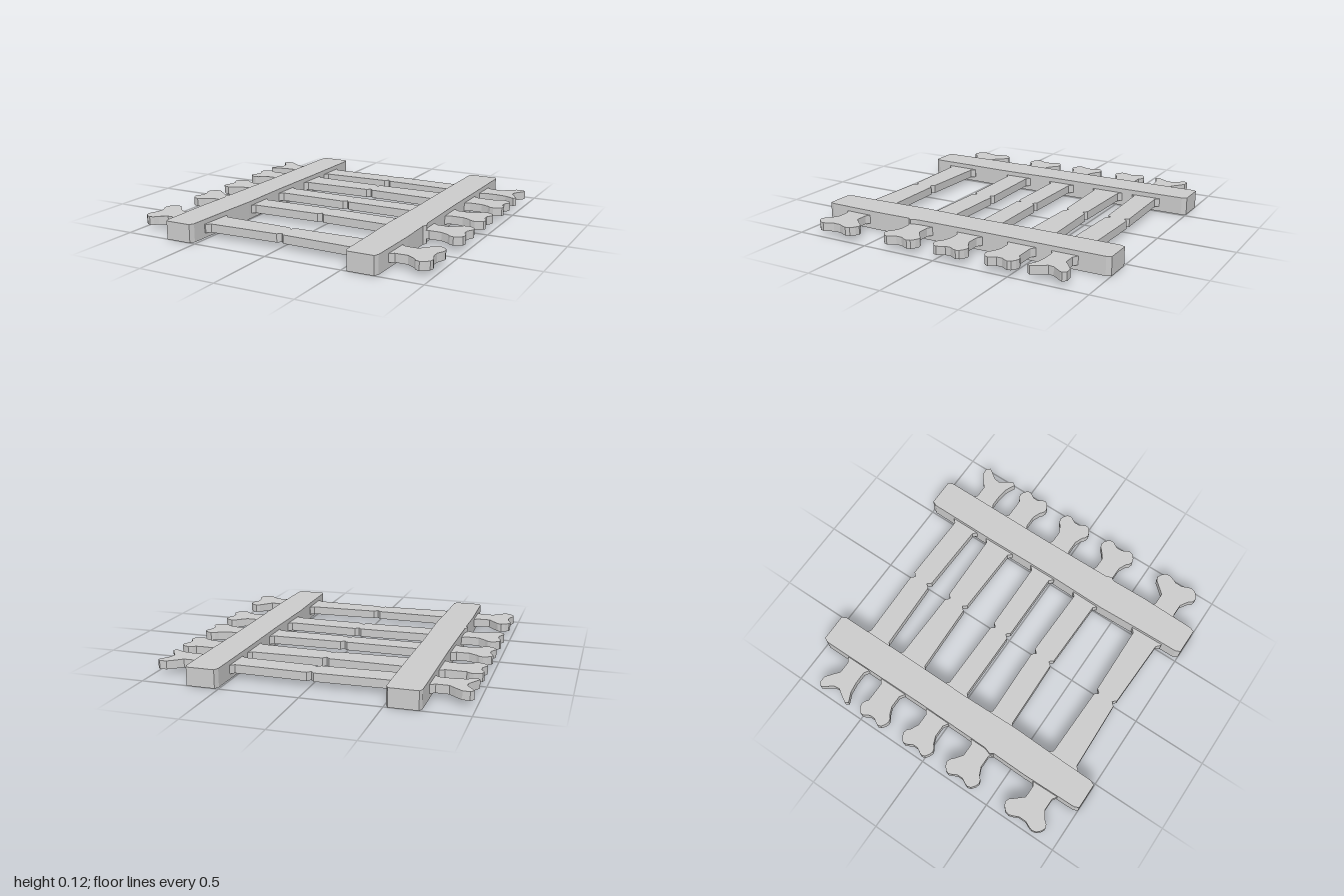
import * as THREE from 'three';

const material = new THREE.MeshStandardMaterial({ color: 0xcccccc, flatShading: true });

// Flat slab from an outline of [x, z] points, standing between two heights
function slab(name, outline, y0, y1) {
  const shape = new THREE.Shape(outline.map(([x, z]) => new THREE.Vector2(x, -z)));
  const geometry = new THREE.ExtrudeGeometry(shape, { depth: y1 - y0, bevelEnabled: false });
  geometry.rotateX(-Math.PI / 2).translate(0, y0, 0);
  const mesh = new THREE.Mesh(geometry, material);
  mesh.name = name;
  return mesh;
}

// Mirror the +x half of an outline (running from x = 0 round to x = 0)
const mirrorHalf = (half) => [
  ...half,
  ...half.slice(1, -1).reverse().map(([x, z]) => [-x, z]),
];

// Knob contours: [x, -1..1 across the knob's width]
const halfKnob = [
  [0.88, -0.78], [0.9, -0.94], [0.925, -1], [0.95, -0.93],
  [0.975, -0.77], [0.982, -0.58], [0.975, -0.42], [0.957, -0.16],
];
const roundKnob = [...halfKnob, ...halfKnob.map(([x, t]) => [x, -t]).reverse()];
const forkedKnob = [
  [0.87, -0.7], [0.915, -0.98], [0.96, -1], [0.98, -0.82], [0.975, -0.72], [0.93, -0.2],
  [0.925, 0.1], [0.945, 0.35], [0.98, 0.83], [0.965, 1], [0.9, 0.75],
];

// Extents in z: at the middle, beside the rail, at the neck, and of the knob
const bones = [
  { middle: [-0.8, -0.655], inner: [-0.79, -0.64], neck: [-0.775, -0.655], knob: [-0.85, -0.61], contour: forkedKnob },
  { middle: [-0.51, -0.36], inner: [-0.52, -0.345], neck: [-0.505, -0.365], knob: [-0.535, -0.315] },
  { middle: [-0.14, -0.005], inner: [-0.145, -0.005], neck: [-0.14, -0.015], knob: [-0.195, 0.035] },
  { middle: [0.19, 0.34], inner: [0.2, 0.35], neck: [0.215, 0.34], knob: [0.145, 0.395] },
  { middle: [0.68, 0.83], inner: [0.67, 0.845], neck: [0.69, 0.825], knob: [0.595, 0.895] },
];

function boneRung({ middle, inner, neck, knob, contour = roundKnob }) {
  // One long edge from the centre nick, past the flared rail joint, to the neck
  const edge = (i) => {
    const s = i ? 1 : -1;
    return [
      [0, middle[i] - s * 0.025], [0.022, middle[i]], [0.485, inner[i]], [0.51, inner[i] + s * 0.025],
      [0.72, neck[i] + s * 0.025], [0.75, neck[i] + s * 0.005], [0.83, neck[i] + s * 0.005],
    ];
  };
  const centre = (knob[0] + knob[1]) / 2, radius = (knob[1] - knob[0]) / 2;
  const end = contour.map(([x, t]) => [x, centre + t * radius]);
  return slab('boneRung', mirrorHalf([...edge(0), ...end, ...edge(1).reverse()]), 0.033, 0.087);
}

// Side rail with clipped corners and slightly uneven edges
const railOutline = [
  [0.525, -1], [0.705, -1], [0.718, -0.97], [0.718, -0.8], [0.715, -0.2], [0.72, 0.3],
  [0.735, 0.345], [0.72, 0.365], [0.725, 0.6], [0.718, 0.97], [0.705, 1],
  [0.535, 1], [0.52, 0.97], [0.515, 0.7], [0.505, 0.4], [0.512, 0], [0.508, -0.5], [0.51, -0.97],
];

export function createModel() {
  const model = new THREE.Group();
  model.name = 'boneLadder';
  for (const [side, name] of [[1, 'leftRail'], [-1, 'rightRail']]) {
    model.add(slab(name, railOutline.map(([x, z]) => [side * x, z]), 0, 0.117));
  }
  bones.forEach((bone) => model.add(boneRung(bone)));
  return model;
}
